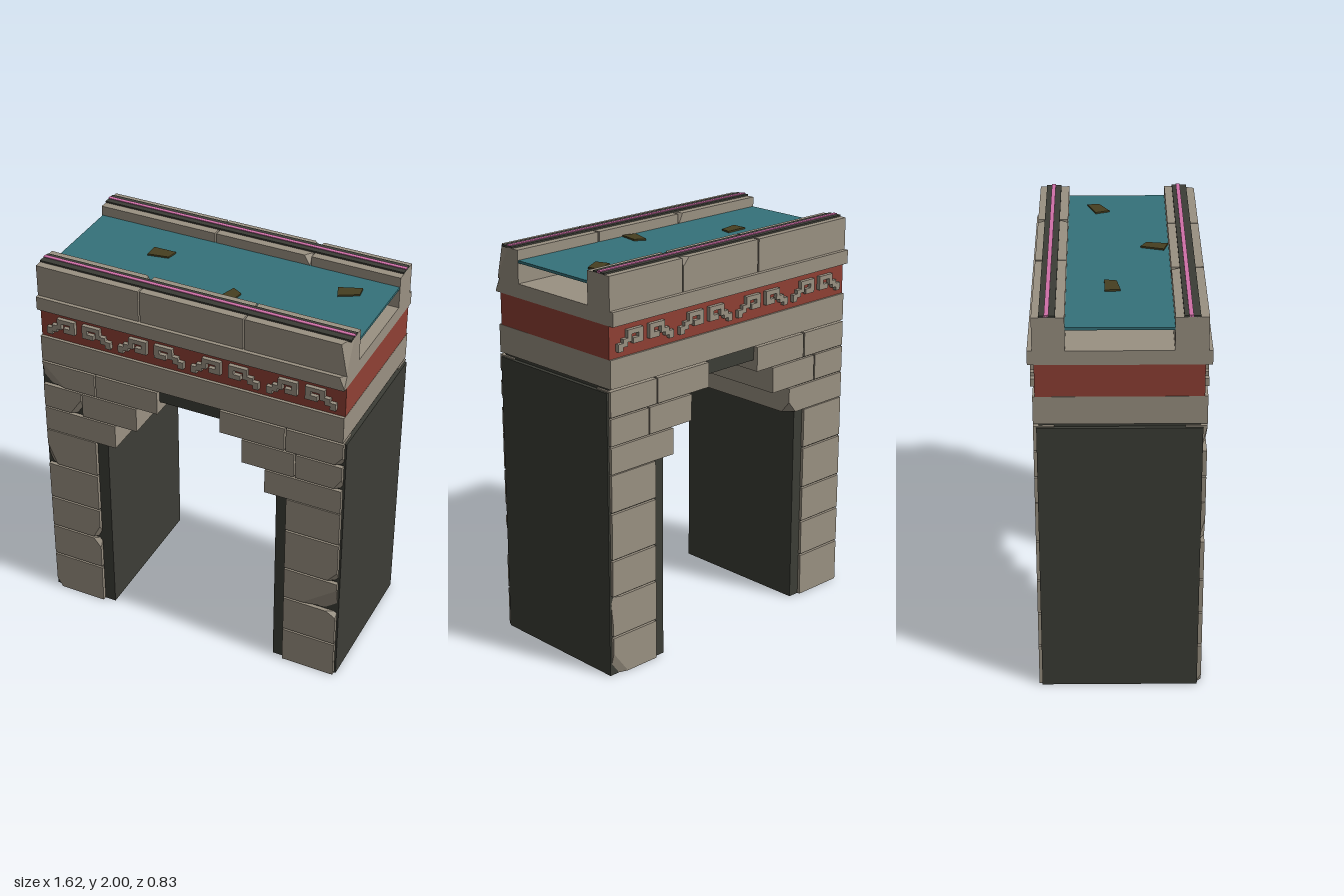
import * as THREE from 'three';
import { ConvexGeometry } from 'three/addons/geometries/ConvexGeometry.js';

const mat = (color) => new THREE.MeshStandardMaterial({ color, flatShading: true });
const STONE = mat(0x9a9182), DARK = mat(0x3c3d36), RED = mat(0x8f4034);
const WATER = mat(0x35727a), PINK = mat(0xd070a8), LEAF = mat(0x463f20);

// Box given by its extents
function box(name, m, x0, x1, y0, y1, z0, z1) {
  const mesh = new THREE.Mesh(new THREE.BoxGeometry(x1 - x0, y1 - y0, z1 - z0), m);
  mesh.position.set((x0 + x1) / 2, (y0 + y1) / 2, (z0 + z1) / 2);
  mesh.name = name;
  return mesh;
}

// Stone block; each chip [sx, sy, sz, dx, dy, dz] slices off one corner
function stone(name, x0, x1, y0, y1, z0, z1, chips = []) {
  if (!chips.length) return box(name, STONE, x0, x1, y0, y1, z0, z1);
  const pts = [];
  for (const sx of [-1, 1]) for (const sy of [-1, 1]) for (const sz of [-1, 1]) {
    const x = sx < 0 ? x0 : x1, y = sy < 0 ? y0 : y1, z = sz < 0 ? z0 : z1;
    const c = chips.find((k) => k[0] === sx && k[1] === sy && k[2] === sz);
    if (!c) pts.push(new THREE.Vector3(x, y, z));
    else pts.push(
      new THREE.Vector3(x - sx * c[3], y, z),
      new THREE.Vector3(x, y - sy * c[4], z),
      new THREE.Vector3(x, y, z - sz * c[5]));
  }
  const mesh = new THREE.Mesh(new ConvexGeometry(pts), STONE);
  mesh.name = name;
  return mesh;
}

// Stepped fret ornament, centred, on an 8 x 5 grid
function fretGeometry(flip) {
  const p = [[0, 0], [0, 2], [1.5, 2], [1.5, 3], [3, 3], [3, 5], [8, 5], [8, 1.3], [4.8, 1.3],
    [4.8, 2.7], [6.6, 2.7], [6.6, 3.8], [4.2, 3.8], [4.2, 2], [2.9, 2], [2.9, 1], [1.5, 1], [1.5, 0]];
  const shape = new THREE.Shape(p.map(([x, y]) =>
    new THREE.Vector2((x - 4) * 0.0192 * (flip ? -1 : 1), (y - 2.5) * 0.019)));
  return new THREE.ExtrudeGeometry(shape, { depth: 0.03, bevelEnabled: false });
}

function buildPier(side) {
  const g = new THREE.Group();
  g.name = side > 0 ? 'leftPier' : 'rightPier';
  const span = (a, b) => (side > 0 ? [a, b] : [-b, -a]);
  g.add(box('pierCore', DARK, ...span(0.46, 0.81), 0, 1.438, -0.38, 0.38));

  // Facing stones, front and back
  const seams = side > 0 ? [0, 0.205, 0.415, 0.605, 0.845, 1.04] : [0, 0.225, 0.415, 0.605, 0.825, 1.04];
  const chips = side > 0
    ? { 2: [[1, -1, 1, 0.18, 0.14, 0.03]], 3: [[1, -1, 1, 0.05, 0.06, 0.03]], 1: [[1, 1, 1, 0.05, 0.03, 0.03]] }
    : { 1: [[1, 1, 1, 0.04, 0.05, 0.03]], 2: [[1, -1, 1, 0.04, 0.08, 0.04]],
      4: [[-1, -1, 1, 0.05, 0.12, 0.03]], 0: [[-1, -1, 1, 0.03, 0.05, 0.03]] };
  const backChips = side > 0 ? { 0: [[1, -1, -1, 0.09, 0.12, 0.03]], 1: [[1, 1, -1, 0.05, 0.15, 0.02]] } : {};
  for (let i = 0; i < 5; i++) {
    const y0 = seams[i] + (i ? 0.005 : 0), y1 = seams[i + 1] - 0.005;
    g.add(stone('pierStone', ...span(0.52, 0.8), y0, y1, 0.3, 0.4, chips[i]));
    g.add(stone('pierStone', ...span(0.52, 0.8), y0, y1, -0.395, -0.3, backChips[i]));
  }

  // Corbel courses stepping inward through the whole depth
  const rows = [
    [1.04, 1.172, 0.405, 0.8],
    [1.18, 1.312, 0.283, side > 0 ? 0.555 : 0.585],
    [1.32, 1.445, 0.167, 0.503]];
  const outer = side > 0
    ? [null, [[1, -1, 1, 0.04, 0.06, 0.03]], [[1, -1, 1, 0.04, 0.05, 0.03]]]
    : [null, [[1, -1, 1, 0.06, 0.09, 0.04]], [[-1, -1, 1, 0.12, 0.12, 0.03]]];
  rows.forEach(([y0, y1, inner, joint], i) => {
    const worn = i === 0 && side < 0 ? [[1, -1, -1, 0.05, 0.06, 0.05]] : [];
    g.add(stone('corbel', ...span(inner, joint), y0, y1, -0.395, 0.4, worn));
    if (i) {
      g.add(stone('corbelEnd', ...span(joint + 0.008, 0.8), y0, y1, 0.3, 0.4, outer[i]));
      g.add(stone('corbelEnd', ...span(joint + 0.008, 0.8), y0, y1, -0.395, -0.3));
    }
  });
  return g;
}

function buildParapet(side) {
  const g = new THREE.Group();
  g.name = side > 0 ? 'frontParapet' : 'backParapet';
  const cuts = side > 0 ? [-0.798, -0.25, 0.29, 0.798] : [-0.798, -0.165, 0.34, 0.798];
  const z = side > 0 ? [0.246, 0.398] : [-0.393, -0.245];
  const chips = side > 0
    ? [[[1, 1, -1, 0.025, 0.05, 0.045]], [], [[1, 1, 1, 0.03, 0.15, 0.08]]]
    : [[], [[1, 1, -1, 0.035, 0.04, 0.04], [1, 1, 1, 0.03, 0.05, 0.04]], []];
  for (let i = 0; i < 3; i++) {
    g.add(stone('parapetStone', cuts[i] + (i ? 0.004 : 0), cuts[i + 1] - (i < 2 ? 0.004 : 0),
      1.825, 1.988, ...z, chips[i]));
  }
  // Dark rail with a bright strip along its middle
  const c = side > 0 ? 0.322 : -0.323;
  const s = side > 0 ? 0.316 : -0.325;
  g.add(box('rail', DARK, -0.798, 0.798, 1.985, 1.996, c - 0.037, c + 0.037));
  g.add(box('railStrip', PINK, -0.798, 0.798, 1.99, 2, s - 0.01, s + 0.01));
  return g;
}

export function createModel() {
  const model = new THREE.Group();
  model.name = 'stoneAqueduct';
  model.add(buildPier(1), buildPier(-1));

  // Ceiling and the horizontal courses
  model.add(box('ceiling', DARK, -0.28, 0.28, 1.375, 1.457, -0.37, 0.37));
  model.add(box('lowerBand', STONE, -0.798, 0.798, 1.455, 1.595, -0.395, 0.4));
  model.add(box('bedJoint', DARK, -0.79, 0.79, 1.436, 1.456, -0.37, 0.37));
  model.add(box('redFrieze', RED, -0.797, 0.797, 1.595, 1.755, -0.385, 0.385));
  model.add(stone('cornice', -0.798, 0.798, 1.755, 1.825, -0.415, 0.417, [[1, 1, 1, 0.025, 0.06, 0.03]]));

  // Frieze ornaments, alternately mirrored, on both faces
  const frets = [fretGeometry(false), fretGeometry(true)];
  for (const side of [1, -1]) {
    const row = new THREE.Group();
    row.name = side > 0 ? 'frontOrnaments' : 'backOrnaments';
    for (let i = 0; i < 8; i++) {
      const m = new THREE.Mesh(frets[i % 2], STONE);
      m.name = 'fretOrnament';
      m.position.set((i - 3.5) * 0.194, 1.673, 0.375);
      row.add(m);
    }
    row.rotation.y = side > 0 ? 0 : Math.PI;
    model.add(row);
  }

  model.add(buildParapet(1), buildParapet(-1));
  model.add(box('water', WATER, -0.795, 0.795, 1.925, 1.938, -0.25, 0.25));

  // Floating leaves: x, z, turn
  const leafShape = new THREE.Shape([[-0.06, -0.04], [0.045, -0.028], [0.06, 0.03], [-0.058, 0.034]]
    .map(([x, y]) => new THREE.Vector2(x, y)));
  const leafGeo = new THREE.ExtrudeGeometry(leafShape, { depth: 0.009, bevelEnabled: false });
  leafGeo.rotateX(-Math.PI / 2);
  for (const [x, z, turn] of [[-0.35, -0.035, 0.05], [0.605, -0.1, 0.4], [0.115, 0.175, 1.3]]) {
    const leaf = new THREE.Mesh(leafGeo, LEAF);
    leaf.name = 'leaf';
    leaf.position.set(x, 1.937, z);
    leaf.rotation.y = turn;
    model.add(leaf);
  }
  return model;
}
